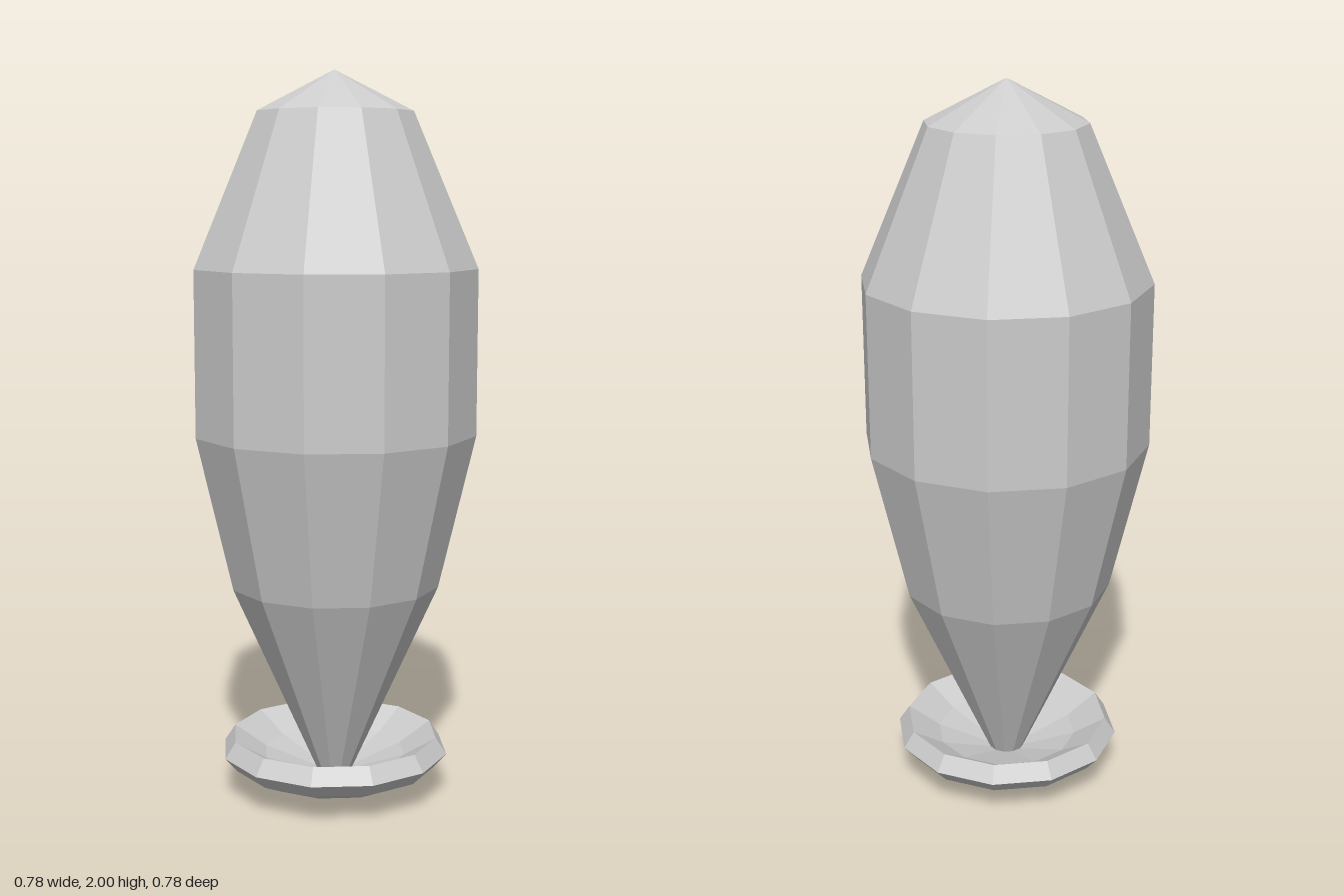
import * as THREE from 'three';

const SIDES = 12;

// Faceted, turned part from [radius, height] pairs listed bottom to top
function turned(name, profile, material) {
  const points = profile.map(([r, y]) => new THREE.Vector2(r, y));
  const geometry = new THREE.LatheGeometry(points, SIDES).toNonIndexed();
  geometry.computeVertexNormals();
  const mesh = new THREE.Mesh(geometry, material);
  mesh.name = name;
  return mesh;
}

export function createModel() {
  const group = new THREE.Group();
  group.name = 'taperedBulb';
  const material = new THREE.MeshStandardMaterial({ color: 0xcccccc, flatShading: true });

  // Shallow dish: pointed underside, bevelled rim, hollow top
  group.add(turned('baseDish', [
    [0, 0], [0.22, 0.05], [0.285, 0.08], [0.32, 0.12],
    [0.29, 0.165], [0.2, 0.11], [0.05, 0.06],
  ], material));

  // Body: narrow stem swelling to a straight band, then a pointed cap
  group.add(turned('body', [
    [0.05, 0.06], [0.292, 0.6], [0.392, 1.025],
    [0.392, 1.475], [0.215, 1.89], [0, 2],
  ], material));

  return group;
}
